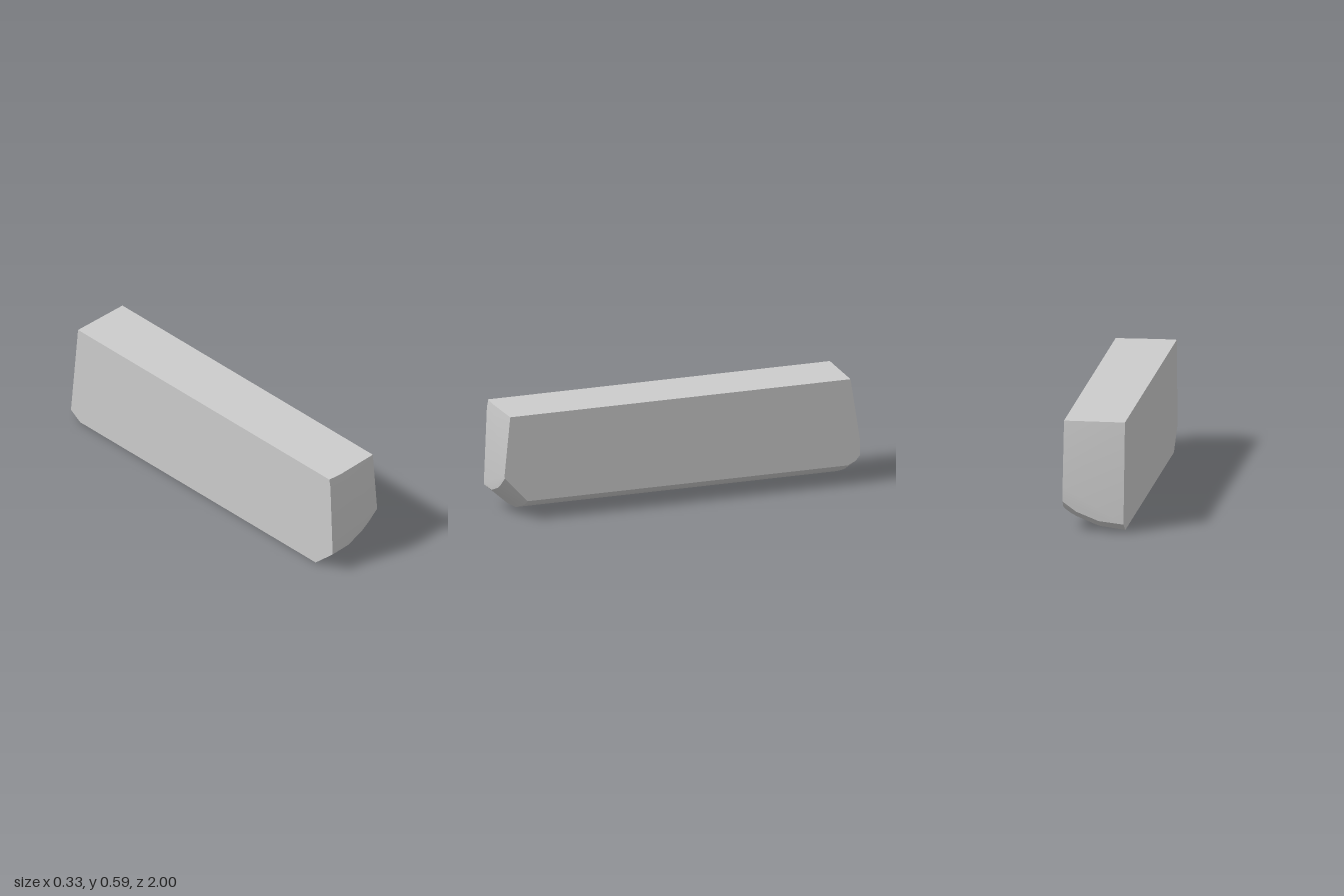
import * as THREE from 'three';
import { ConvexGeometry } from 'three/addons/geometries/ConvexGeometry.js';
import { toCreasedNormals } from 'three/addons/utils/BufferGeometryUtils.js';

const W = 0.163, TOP = 0.588;

export function createModel() {
  const model = new THREE.Group();
  const points = [];
  const add = (x, y, z) => points.push(new THREE.Vector3(x, y, z));

  // Curved belly, running the length of the block and rising towards +x
  const belly = [[-W, 0], [-0.03, 0.017], [0, 0.027], [0.1, 0.068], [0.125, 0.081], [W, 0.109]];
  for (const [x, y] of belly) {
    add(x, y, 0.87);
    add(x, y, -0.93);
  }

  // Upper edge of the front chamfer, with a slightly softened lip
  const frontEdge = [[-W, 0.115], [-0.045, 0.122], [0.055, 0.165], [0.1, 0.196], [W, 0.25]];
  for (const [x, y] of frontEdge) {
    add(x, y, 0.998);
    add(x, y + 0.015, 1);
  }

  // Upper edge of the back chamfer
  const backEdge = [[-W, 0.045], [-0.03, 0.06], [0.09, 0.107], [W, 0.16]];
  for (const [x, y] of backEdge) add(x, y, -1);
  add(W, 0.13, -0.975);
  add(W, 0.24, -1);

  // Flat top, with a small bevel on one front corner
  add(-W, TOP, 0.975);
  add(-W, 0.545, 0.983);
  add(-0.08, TOP, 0.98);
  add(W, TOP, 0.968);
  add(-W, TOP, -0.946);
  add(W, TOP, -0.946);

  const block = new THREE.Mesh(
    toCreasedNormals(new ConvexGeometry(points), 0.5),
    new THREE.MeshStandardMaterial({ color: 0xcccccc })
  );
  block.name = 'block';
  model.add(block);
  return model;
}
